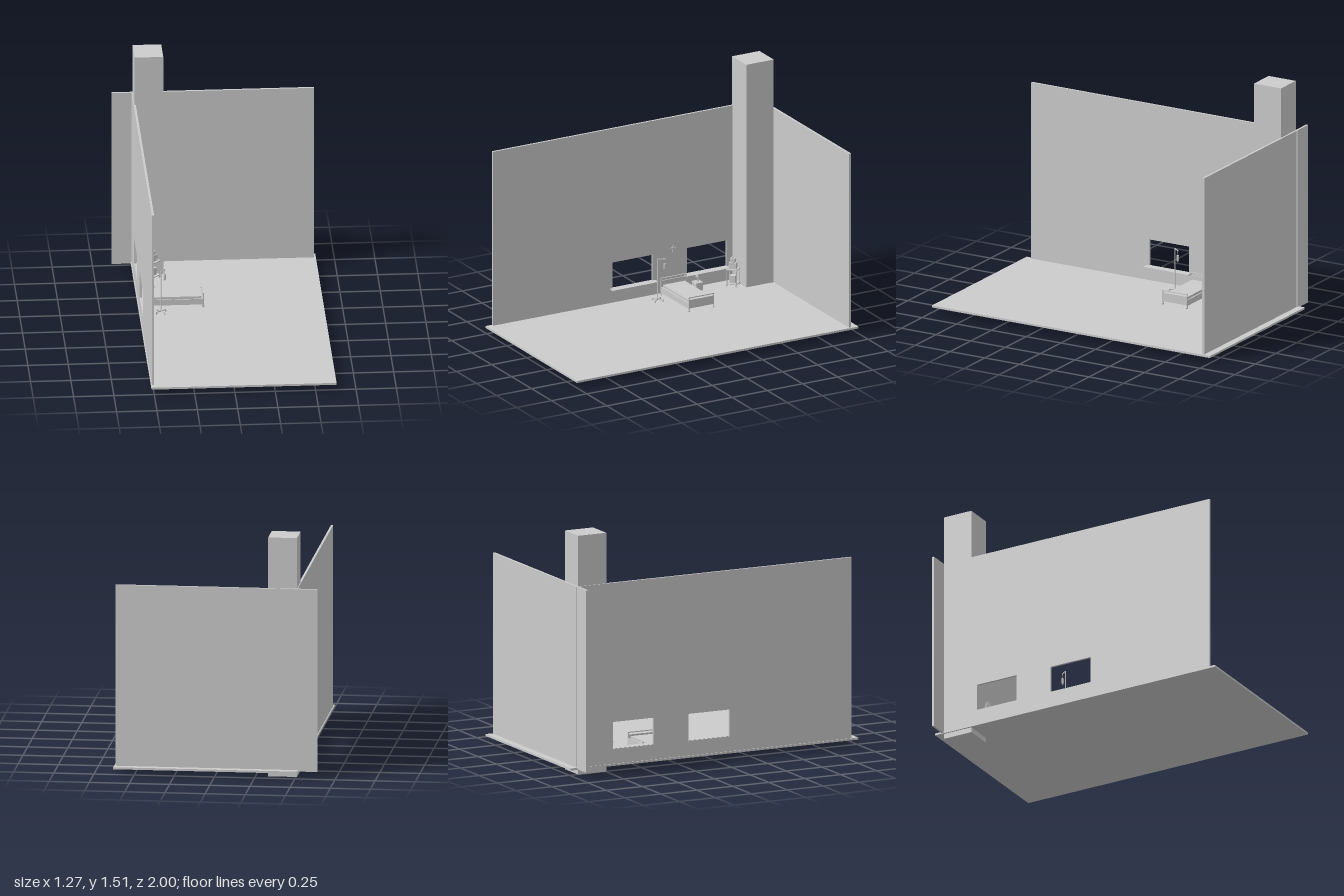
import * as THREE from 'three';

const grey = new THREE.MeshStandardMaterial({ color: 0xcccccc });

function add(parent, name, geo, x = 0, y = 0, z = 0) {
  const m = new THREE.Mesh(geo, grey);
  m.name = name;
  m.position.set(x, y, z);
  parent.add(m);
  return m;
}

// box given by its min and max on each axis
function span(parent, name, x0, x1, y0, y1, z0, z1) {
  return add(parent, name, new THREE.BoxGeometry(x1 - x0, y1 - y0, z1 - z0),
    (x0 + x1) / 2, (y0 + y1) / 2, (z0 + z1) / 2);
}

// upright cylinder from y0 to y1
function post(parent, name, r, y0, y1, x, z, r2 = r) {
  return add(parent, name, new THREE.CylinderGeometry(r2, r, y1 - y0, 12), x, (y0 + y1) / 2, z);
}

function subgroup(parent, name, x, y, z, turn = 0) {
  const g = new THREE.Group();
  g.name = name;
  g.position.set(x, y, z);
  g.rotation.y = turn;
  parent.add(g);
  return g;
}

const FLOOR = 0.046;

function buildRoom(root) {
  span(root, 'floor', -0.517, 0.63, 0.033, FLOOR, -1, 1);
  span(root, 'backWall', -0.636, 0.62, 0.037, 1.19, -0.954, -0.939);
  span(root, 'pillar', -0.507, -0.328, 0, 1.51, -0.942, -0.747);

  // side wall with two window openings; shape x is -z
  const wall = new THREE.Shape([[-0.957, 0.04], [0.958, 0.04], [0.958, 1.19], [-0.957, 1.19]]
    .map(([a, b]) => new THREE.Vector2(a, b)));
  for (const [a, b] of [[-0.107, 0.178], [0.42, 0.702]]) {
    wall.holes.push(new THREE.Path([[a, 0.14], [a, 0.31], [b, 0.31], [b, 0.14]]
      .map(([u, v]) => new THREE.Vector2(u, v))));
    const mid = -(a + b) / 2;
    span(root, 'windowSill', -0.505, -0.454, 0.134, 0.141, mid - 0.161, mid + 0.161);
  }
  const geo = new THREE.ExtrudeGeometry(wall, { depth: 0.014, bevelEnabled: false });
  geo.rotateY(Math.PI / 2);
  add(root, 'sideWall', geo, -0.512, 0, 0);

  // wall cross
  const cross = subgroup(root, 'wallCross', -0.495, 0, -0.323);
  span(cross, 'upright', -0.003, 0.003, 0.298, 0.346, -0.003, 0.003);
  span(cross, 'crossbar', -0.003, 0.003, 0.325, 0.332, -0.017, 0.017);
}

function buildBed(root) {
  const bed = subgroup(root, 'bed', 0, 0, -0.305);
  for (const s of [-1, 1]) {
    span(bed, 'sidePanel', -0.462, -0.116, 0.066, 0.103, s * 0.087 - 0.003, s * 0.087 + 0.003);
    for (const [x, top] of [[-0.462, 0.16], [-0.115, 0.142]]) {
      post(bed, 'cornerPost', 0.004, 0.058, top, x, s * 0.087);
      const wheel = add(bed, 'caster', new THREE.CylinderGeometry(0.008, 0.008, 0.006, 12),
        x, FLOOR + 0.008, s * 0.087);
      wheel.rotation.x = Math.PI / 2;
    }
  }
  span(bed, 'bedFrame', -0.462, -0.116, 0.068, 0.1, -0.085, 0.085);
  span(bed, 'mattress', -0.455, -0.126, 0.1, 0.116, -0.077, 0.077);
  for (const [x, top] of [[-0.462, 0.16], [-0.115, 0.142]]) {
    span(bed, 'endPanel', x - 0.003, x + 0.003, 0.072, top - 0.017, -0.085, 0.085);
    span(bed, 'endRail', x - 0.004, x + 0.004, top - 0.006, top, -0.091, 0.091);
  }
}

function buildDripStand(root) {
  const stand = subgroup(root, 'dripStand', -0.382, 0, -0.147, 0.6);
  for (let i = 0; i < 4; i++) {
    const leg = subgroup(stand, 'standLeg', 0, 0, 0, i * Math.PI / 2);
    span(leg, 'legBar', 0, 0.038, 0.057, 0.063, -0.003, 0.003);
    const wheel = add(leg, 'caster', new THREE.CylinderGeometry(0.006, 0.006, 0.005, 12), 0.036, 0.052, 0);
    wheel.rotation.x = Math.PI / 2;
  }
  post(stand, 'pole', 0.003, 0.057, 0.327, 0, 0);
  // hanging arm and fluid bag
  const arm = subgroup(stand, 'hanger', 0, 0, 0, 0.35);
  span(arm, 'armBar', 0, 0.049, 0.321, 0.327, -0.002, 0.002);
  post(arm, 'hook', 0.0012, 0.285, 0.323, 0.043, 0);
  post(arm, 'fluidBag', 0.008, 0.261, 0.293, 0.043, 0);
  post(arm, 'bagTip', 0.002, 0.248, 0.261, 0.043, 0, 0.008);
}

function buildBedsideCabinet(root) {
  const cab = subgroup(root, 'bedsideCabinet', -0.428, 0, -0.456);
  span(cab, 'cabinetBody', -0.025, 0.025, 0.056, 0.1, -0.024, 0.024);
  span(cab, 'cabinetTop', -0.028, 0.028, 0.1, 0.105, -0.027, 0.027);
  span(cab, 'drawerFront', 0.025, 0.027, 0.081, 0.096, -0.02, 0.02);
  span(cab, 'doorFront', 0.025, 0.027, 0.06, 0.078, -0.02, 0.02);
  for (const x of [-0.021, 0.021])
    for (const z of [-0.02, 0.02]) post(cab, 'foot', 0.004, FLOOR, 0.057, x, z);
  // small lamp
  post(cab, 'lampBase', 0.009, 0.105, 0.109, -0.01, -0.006);
  post(cab, 'lampStem', 0.002, 0.107, 0.138, -0.01, -0.006);
  post(cab, 'lampShade', 0.013, 0.133, 0.151, -0.01, -0.006, 0.008);
}

function buildCart(root) {
  const cart = subgroup(root, 'equipmentCart', -0.398, 0, -0.692, 0.75);
  for (const y of [0.062, 0.155])
    span(cart, 'shelf', -0.036, 0.036, y, y + 0.006, -0.034, 0.034);
  for (const x of [-0.031, 0.031])
    for (const z of [-0.029, 0.029]) {
      post(cart, 'cartPost', 0.003, 0.057, 0.165, x, z);
      const wheel = add(cart, 'caster', new THREE.CylinderGeometry(0.007, 0.007, 0.005, 12), x, 0.053, z);
      wheel.rotation.x = Math.PI / 2;
    }
  span(cart, 'lowerUnit', -0.018, 0.018, 0.068, 0.115, -0.018, 0.018);
  // stacked instruments
  span(cart, 'instrument', -0.024, 0.024, 0.161, 0.2, -0.018, 0.018);
  span(cart, 'monitor', -0.016, 0.014, 0.2, 0.226, -0.013, 0.013);
  for (const x of [-0.013, 0.013]) {
    const knob = add(cart, 'knob', new THREE.CylinderGeometry(0.004, 0.004, 0.005, 12), x, 0.172, 0.02);
    knob.rotation.x = Math.PI / 2;
  }
  post(cart, 'monitorCap', 0.006, 0.226, 0.235, -0.003, 0);
}

export function createModel() {
  const root = new THREE.Group();
  root.name = 'hospitalRoom';
  buildRoom(root);
  buildBed(root);
  buildDripStand(root);
  buildBedsideCabinet(root);
  buildCart(root);
  return root;
}
